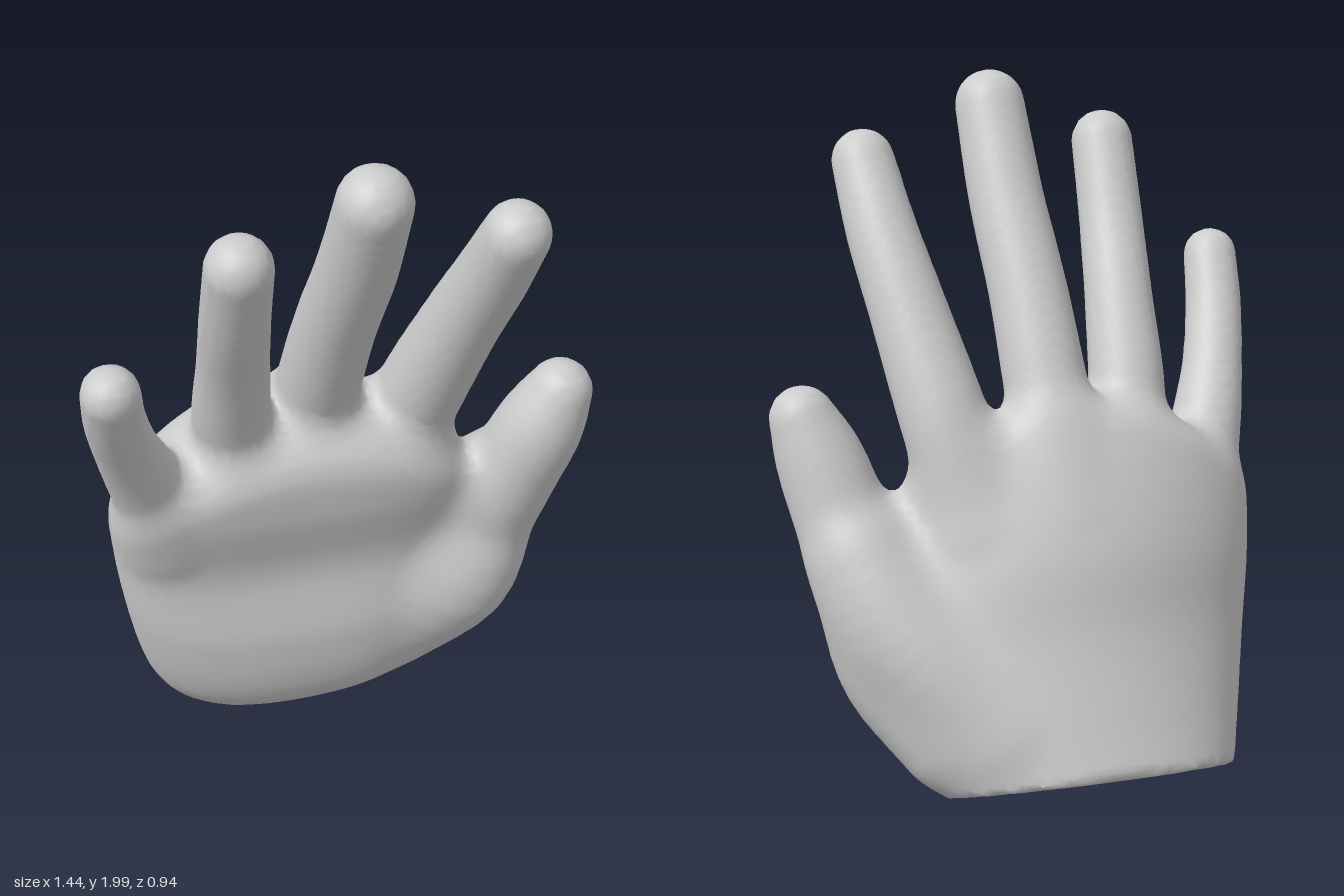
import * as THREE from 'three';

const STEP = 0.02; // spacing of the skin mesh
const WRIST = -0.013; // level of the wrist cut
const TILT = 0.42; // lean of the palm sections and of the wrist cut
const material = new THREE.MeshStandardMaterial({ color: 0xcccccc });

// Paths of [x, y, z, radius], from inside the palm to the centre of the rounded tip
const FINGERS = {
  indexFinger: [[0.20, 0.82, -0.07, 0.11], [0.257, 1.08, 0.00, 0.122], [0.325, 1.38, 0.135, 0.108],
    [0.368, 1.58, 0.245, 0.099], [0.392, 1.762, 0.355, 0.088]],
  middleFinger: [[-0.06, 0.85, -0.11, 0.105], [-0.035, 1.12, -0.01, 0.116], [-0.015, 1.41, 0.12, 0.110],
    [0.01, 1.66, 0.25, 0.105], [0.022, 1.902, 0.365, 0.098]],
  ringFinger: [[-0.24, 0.85, -0.05, 0.10], [-0.28, 1.11, 0.04, 0.108], [-0.296, 1.36, 0.16, 0.097],
    [-0.312, 1.57, 0.28, 0.091], [-0.32, 1.785, 0.388, 0.087]],
  littleFinger: [[-0.47, 0.75, 0.00, 0.105], [-0.532, 0.98, 0.075, 0.102], [-0.587, 1.15, 0.165, 0.087],
    [-0.625, 1.31, 0.26, 0.081], [-0.642, 1.443, 0.337, 0.077]],
};
const THUMB = [[0.29, 0.24, -0.14, 0.155], [0.385, 0.42, -0.045, 0.192], [0.473, 0.62, -0.035, 0.16],
  [0.54, 0.82, 0.04, 0.133], [0.588, 0.98, 0.09, 0.122], [0.632, 1.103, 0.112, 0.091]];
const THUMB_BACK = [[0.20, 0.28, -0.25, 0.11], [0.38, 0.50, -0.17, 0.125], [0.50, 0.74, -0.03, 0.115]];

// Palm sections: level, centre x, half width, front z, back z, forward bend of the sides
const PALM = [
  [-0.013, -0.10, 0.40, -0.03, -0.48, 0.00],
  [0.154, -0.075, 0.465, 0.08, -0.425, 0.00],
  [0.41, -0.075, 0.51, 0.13, -0.347, 0.02],
  [0.65, -0.10, 0.515, 0.11, -0.295, 0.05],
  [0.91, -0.12, 0.505, 0.165, -0.205, 0.05],
  [1.07, -0.125, 0.49, 0.175, -0.135, 0.05],
  [1.20, -0.10, 0.46, 0.15, -0.08, 0.05],
];
const palmShape = new THREE.CubicInterpolant(
  PALM.map((s) => s[0]), new Float32Array(PALM.flatMap((s) => s.slice(1))), 5);

// Rounded joins: k is the width of the blend
function blend(a, b, k) {
  const h = Math.max(k - Math.abs(a - b), 0) / k;
  return Math.min(a, b) - h * h * k / 4;
}

// Distance to a tapering tube along a curved path
function limb(points) {
  const sample = (fn) => new THREE.CatmullRomCurve3(points.map(fn), false, 'catmullrom', 0.5)
    .getPoints((points.length - 1) * 5);
  const c = sample((p) => new THREE.Vector3(p[0], p[1], p[2]));
  const r = sample((p) => new THREE.Vector3(p[3], 0, 0)).map((v) => v.x);
  return (x, y, z) => {
    let best = Infinity;
    for (let i = 0; i < c.length - 1; i++) {
      const a = c[i], b = c[i + 1];
      const dx = b.x - a.x, dy = b.y - a.y, dz = b.z - a.z;
      const px = x - a.x, py = y - a.y, pz = z - a.z;
      const t = Math.min(1, Math.max(0,
        (px * dx + py * dy + pz * dz) / (dx * dx + dy * dy + dz * dz)));
      const d = Math.sqrt((px - dx * t) ** 2 + (py - dy * t) ** 2 + (pz - dz * t) ** 2);
      best = Math.min(best, d - r[i] - (r[i + 1] - r[i]) * t);
    }
    return best;
  };
}

// Distance to the palm: oblong sections, rounder at the back, under an arched top
function palm(x, y, z) {
  const level = y + TILT * z;
  const [cx, a, front, back, bend] = palmShape.evaluate(level);
  const u = Math.abs(x - cx) / a, b = (front - back) / 2;
  const depth = z - (front + back) / 2 - bend * Math.min(u * u, 1);
  const v = Math.abs(depth) / b, n = depth > 0 ? 2.4 : 2;
  const q = Math.max((u ** n + v ** n) ** (1 / n), 1e-4);
  const side = (q - 1) / Math.hypot((u / q) ** (n - 1) / a, (v / q) ** (n - 1) / b);
  const top = level - 1.13 + 0.8 * (x + 0.08) ** 2;
  return -blend(-side, -top, 0.12);
}

const thumbLimb = limb(THUMB), thumbBack = limb(THUMB_BACK);
const thumb = (x, y, z) => blend(thumbLimb(x, y, z), thumbBack(x, y, z), 0.08);
const fingers = Object.values(FINGERS).map(limb);
const partNames = ['palm', 'thumb', ...Object.keys(FINGERS)];
const parts = [palm, thumb, ...fingers];

// Whole hand, cut flat at the wrist
function handDistance(x, y, z) {
  const base = blend(palm(x, y, z), thumb(x, y, z), 0.1);
  const digits = fingers.map((f) => f(x, y, z)).reduce((a, b) => blend(a, b, 0.03));
  return Math.max(blend(base, digits, 0.07), WRIST - y - TILT * z);
}

// Even quad skin over a distance function inside a box
function skin(distance, min, max) {
  const size = min.map((m, i) => Math.round((max[i] - m) / STEP) + 1);
  const stride = [1, size[0], size[0] * size[1]];
  const values = new Float32Array(size[0] * size[1] * size[2]);
  const each = (from, fn) => {
    for (let k = from; k < size[2] - 1; k++)
      for (let j = from; j < size[1] - 1; j++)
        for (let i = from; i < size[0] - 1; i++)
          fn(i + j * stride[1] + k * stride[2], [i, j, k]);
  };
  values.fill(1);
  each(0, (id, p) => {
    values[id] = distance(...p.map((v, i) => min[i] + v * STEP));
  });

  // One vertex in every cell the surface passes through
  const vertexOf = new Int32Array(values.length), vertices = [], index = [];
  each(0, (id, p) => {
    const sum = [0, 0, 0];
    let hits = 0;
    for (let corner = 0; corner < 8; corner++) {
      const bits = [corner & 1, (corner >> 1) & 1, corner >> 2];
      const start = id + bits[0] + bits[1] * stride[1] + bits[2] * stride[2];
      for (let axis = 0; axis < 3; axis++) {
        if (bits[axis]) continue;
        const v0 = values[start], v1 = values[start + stride[axis]];
        if ((v0 < 0) === (v1 < 0)) continue;
        bits.forEach((bit, i) => { sum[i] += bit; });
        sum[axis] += v0 / (v0 - v1);
        hits++;
      }
    }
    if (!hits) return;
    vertexOf[id] = vertices.length;
    vertices.push(new THREE.Vector3(...sum.map((s, i) => min[i] + (p[i] + s / hits) * STEP)));
  });

  // One quad around every grid edge the surface crosses
  each(1, (id) => {
    for (let axis = 0; axis < 3; axis++) {
      const inside = values[id] < 0;
      if (inside === values[id + stride[axis]] < 0) continue;
      const su = stride[(axis + 1) % 3], sv = stride[(axis + 2) % 3];
      const quad = [id, id - su, id - su - sv, id - sv].map((cell) => vertexOf[cell]);
      if (!inside) quad.reverse();
      const [a, b, c, d] = quad;
      index.push(a, b, c, a, c, d);
    }
  });
  const geometry = new THREE.BufferGeometry().setFromPoints(vertices);
  geometry.setIndex(index);
  geometry.computeVertexNormals();
  return { geometry, vertices, index };
}

export function createModel() {
  const hand = new THREE.Group();
  hand.name = 'hand';
  const { geometry, vertices, index } = skin(handDistance, [-0.78, -0.06, -0.56], [0.78, 2.06, 0.54]);

  // Divide the seamless skin into palm, thumb and fingers
  const owner = vertices.map((p) => {
    const d = parts.map((part) => part(p.x, p.y, p.z));
    return d.indexOf(Math.min(...d));
  });
  partNames.forEach((name, part) => {
    const faces = [];
    for (let i = 0; i < index.length; i += 3) {
      if (owner[index[i]] === part) faces.push(index[i], index[i + 1], index[i + 2]);
    }
    const piece = new THREE.BufferGeometry();
    piece.setAttribute('position', geometry.getAttribute('position'));
    piece.setAttribute('normal', geometry.getAttribute('normal'));
    piece.setIndex(faces);
    const mesh = new THREE.Mesh(piece, material);
    mesh.name = name;
    hand.add(mesh);
  });
  return hand;
}
